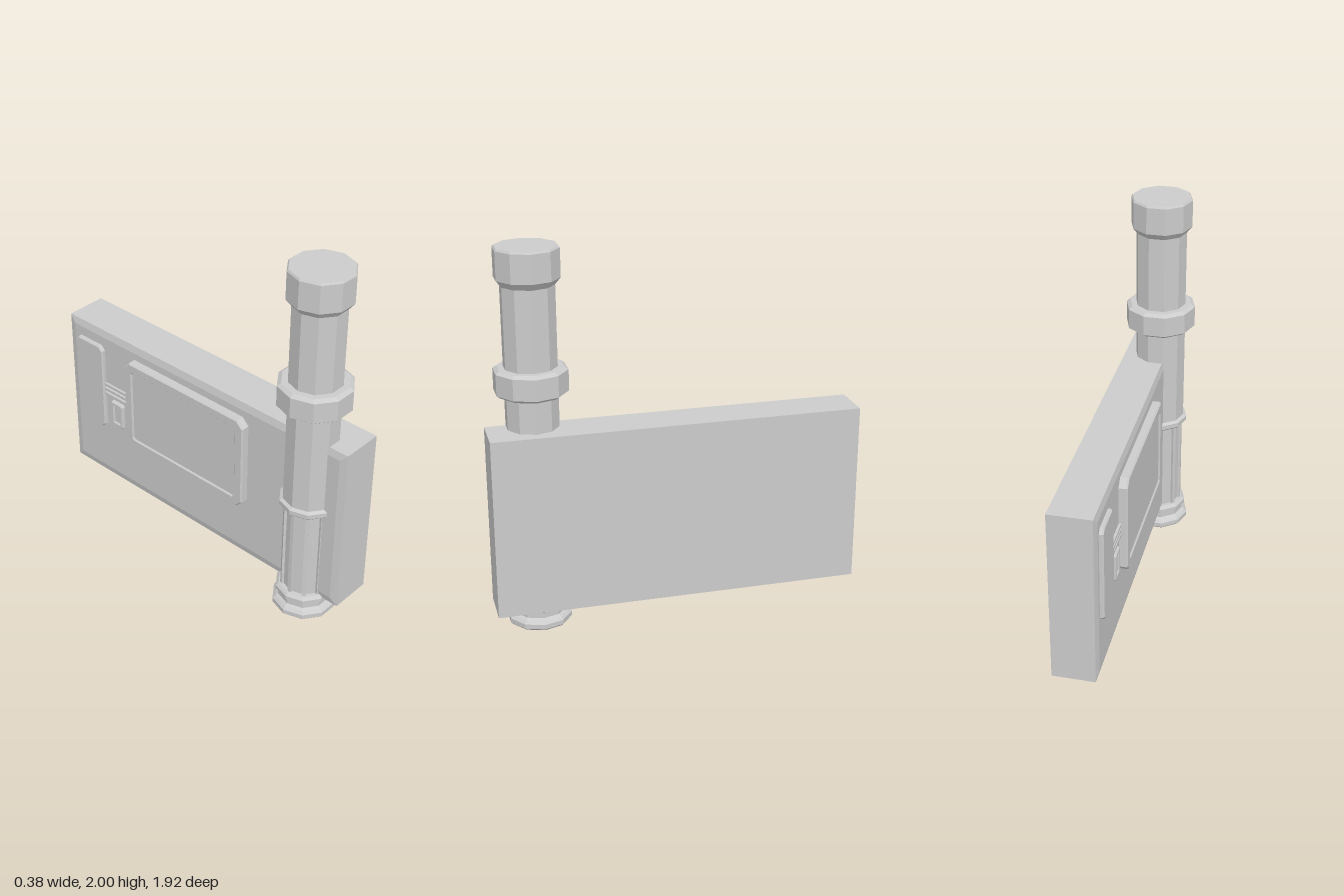
import * as THREE from 'three';

const mat = new THREE.MeshStandardMaterial({ color: 0xcccccc, flatShading: true });
const POST_Z = 0.722, SIDES = 10, FACE_X = -0.045;

function add(parent, name, geometry, x = 0, y = 0, z = 0) {
  const mesh = new THREE.Mesh(geometry, mat);
  mesh.name = name;
  mesh.position.set(x, y, z);
  parent.add(mesh);
  return mesh;
}

// rectangle with cut corners, in the (z, y) plane
function cutRect(Path, z0, z1, y0, y1, c) {
  const p = new Path();
  p.moveTo(z0 + c, y0);
  [[z1 - c, y0], [z1, y0 + c], [z1, y1 - c], [z1 - c, y1],
    [z0 + c, y1], [z0, y1 - c], [z0, y0 + c]].forEach(([z, y]) => p.lineTo(z, y));
  p.closePath();
  return p;
}

// plate standing out from the wall's side face, with an optional sunken centre
function plate(parent, name, [z0, z1, y0, y1], depth, cut, border = 0, sink = 0.008) {
  const group = new THREE.Group();
  group.name = name;
  const bevel = 0.008;
  const shape = cutRect(THREE.Shape, z0 + bevel, z1 - bevel, y0 + bevel, y1 - bevel, cut);
  const inner = [z0 + border, z1 - border, y0 + border, y1 - border];
  if (border) shape.holes.push(cutRect(THREE.Path, ...inner, cut * 0.4));
  const extrude = (s, d, b) => new THREE.ExtrudeGeometry(s, {
    depth: d, bevelEnabled: b > 0, bevelSize: b, bevelThickness: b, bevelSegments: 1,
  });
  add(group, 'rim', extrude(shape, depth - bevel, bevel), FACE_X).rotation.y = -Math.PI / 2;
  if (border) {
    const fill = cutRect(THREE.Shape, ...inner, cut * 0.4);
    add(group, 'inset', extrude(fill, depth - sink, 0), FACE_X).rotation.y = -Math.PI / 2;
  }
  parent.add(group);
}

export function createModel() {
  const model = new THREE.Group();

  // post: ten-sided profile from the foot to the cap
  const post = new THREE.Group();
  post.name = 'post';
  post.position.z = POST_Z;
  model.add(post);
  const profile = [
    [0, 0], [0.16, 0], [0.17, 0.01], [0.17, 0.035], [0.155, 0.05], [0.14, 0.06],
    [0.14, 0.09], [0.155, 0.1], [0.155, 0.12], [0.14, 0.135], [0.118, 0.135],
    [0.118, 0.655], [0.145, 0.655], [0.155, 0.665], [0.155, 0.69], [0.137, 0.7],
    [0.137, 1.255], [0.17, 1.255], [0.19, 1.27], [0.19, 1.38], [0.17, 1.395], [0.137, 1.395],
    [0.137, 1.81], [0.165, 1.845], [0.165, 1.99], [0.158, 2], [0, 2],
  ].map(([r, y]) => new THREE.Vector2(r, y));
  add(post, 'postShaft', new THREE.LatheGeometry(profile, SIDES)).rotation.y = Math.PI / 2;

  // upright ribs around the lower shaft
  for (let i = 0; i < SIDES; i++) {
    const a = (i / SIDES) * Math.PI * 2;
    const rib = add(post, 'shaftRib', new THREE.BoxGeometry(0.03, 0.53, 0.02),
      Math.cos(a) * 0.114, 0.395, Math.sin(a) * 0.114);
    rib.rotation.y = -a;
  }

  // wall slab, its panelled side drawn in slightly at the edges
  add(model, 'wall', new THREE.BoxGeometry(0.225, 0.96, 1.924), 0.0775, 0.6, 0);
  const facing = new THREE.CylinderGeometry(Math.SQRT1_2, Math.SQRT1_2, 1, 4).rotateY(Math.PI / 4).rotateZ(Math.PI / 2);
  const pos = facing.attributes.position;
  for (let i = 0; i < pos.count; i++) {
    const outer = pos.getX(i) < 0, inset = outer ? 0.04 : 0;
    pos.setXYZ(i, outer ? FACE_X : -0.035,
      0.6 + Math.sign(pos.getY(i)) * (0.48 - inset) * (Math.abs(pos.getY(i)) > 0.1 ? 1 : 0),
      Math.sign(pos.getZ(i)) * (0.962 - inset) * (Math.abs(pos.getZ(i)) > 0.1 ? 1 : 0));
  }
  add(model, 'wallFacing', facing);

  // panels on the side face
  plate(model, 'screenPanel', [-0.5, 0.35, 0.45, 1.0], 0.045, 0.035, 0.05);
  plate(model, 'narrowPanel', [-0.9, -0.69, 0.45, 0.985], 0.022, 0.02);
  plate(model, 'smallPanel', [-0.645, -0.55, 0.5, 0.66], 0.02, 0.006, 0.02);

  // thin bars joining the panels
  for (let i = 0; i < 3; i++) {
    add(model, 'linkBar', new THREE.BoxGeometry(0.02, 0.016, 0.2), FACE_X - 0.003, 0.685 + i * 0.03, -0.595);
  }
  return model;
}
